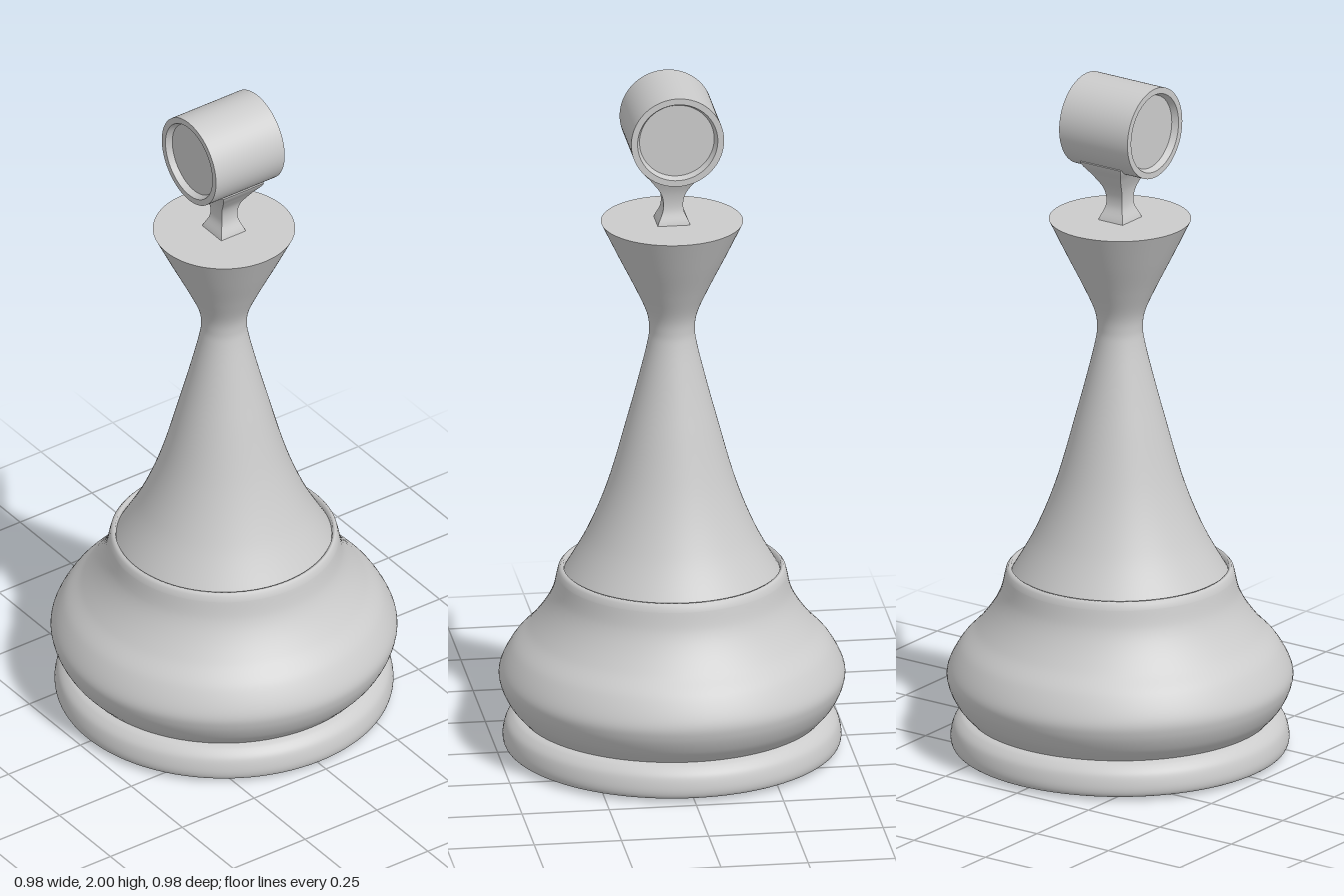
import * as THREE from 'three';

const material = new THREE.MeshStandardMaterial({ color: 0xcccccc, side: THREE.DoubleSide });
const SEGMENTS = 96;

// Smooth curve through a few [radius, height] points
function smooth(points, divisions = 40) {
  return new THREE.SplineCurve(points.map(([r, y]) => new THREE.Vector2(r, y))).getPoints(divisions);
}

function straight(points) {
  return points.map(([r, y]) => new THREE.Vector2(r, y));
}

function turned(name, profile) {
  const mesh = new THREE.Mesh(new THREE.LatheGeometry(profile, SEGMENTS), material);
  mesh.name = name;
  return mesh;
}

// Square stem whose half widths follow curves along its height
function createStem() {
  const geometry = new THREE.BoxGeometry(1, 1, 1, 1, 24, 1);
  const bottom = 1.585, top = 1.77;
  const halfX = new THREE.SplineCurve(straight([[0.047, 0], [0.029, 0.25], [0.034, 0.5], [0.064, 0.75], [0.097, 1]]));
  const halfZ = new THREE.SplineCurve(straight([[0.043, 0], [0.028, 0.25], [0.031, 0.5], [0.048, 0.75], [0.071, 1]]));
  const position = geometry.attributes.position;
  for (let i = 0; i < position.count; i++) {
    const t = position.getY(i) + 0.5;
    position.setXYZ(
      i,
      Math.sign(position.getX(i)) * halfX.getPoint(t).x,
      bottom + (top - bottom) * t,
      Math.sign(position.getZ(i)) * halfZ.getPoint(t).x
    );
  }
  geometry.computeVertexNormals();
  const mesh = new THREE.Mesh(geometry, material);
  mesh.name = 'stem';
  return mesh;
}

// Drum lying along z, with a recessed disc in each end
function createDrum() {
  const drum = new THREE.Group();
  drum.name = 'drum';
  const radius = 0.133, half = 0.1195, inner = 0.115, floor = 0.107, depth = 0.018;
  drum.add(turned('drumWall', straight([[radius, -half], [radius, half]])));
  for (const side of [1, -1]) {
    const end = new THREE.Group();
    end.name = side > 0 ? 'frontEnd' : 'backEnd';
    end.add(
      turned('rim', straight([[radius, half], [inner, half]])),
      turned('recessWall', straight([[inner, half], [floor, half - depth]])),
      turned('recessDisc', straight([[floor, half - depth], [0, half - depth]]))
    );
    if (side < 0) end.rotation.x = Math.PI;
    drum.add(end);
  }
  drum.rotation.x = Math.PI / 2;
  drum.position.set(0, 1.867, 0.0025);
  return drum;
}

export function createModel() {
  const model = new THREE.Group();
  model.name = 'chessPiece';

  // Foot
  model.add(turned('underside', straight([[0, 0], [0.38, 0], [0.46, 0.008]])));
  model.add(turned('footRing', smooth([[0.46, 0.008], [0.477, 0.016], [0.481, 0.04], [0.472, 0.075], [0.452, 0.097], [0.432, 0.106]])));

  // Bulging base with a small collar lip
  model.add(turned('bulb', smooth([
    [0.432, 0.106], [0.465, 0.145], [0.488, 0.195], [0.489, 0.24], [0.455, 0.305],
    [0.405, 0.36], [0.365, 0.415], [0.34, 0.465], [0.327, 0.52]
  ], 64)));
  model.add(turned('collarLip', straight([[0.327, 0.52], [0.323, 0.535], [0.316, 0.543], [0.309, 0.543], [0.306, 0.53]])));

  // Tapering body, narrow neck and flared top
  model.add(turned('body', smooth([
    [0.306, 0.53], [0.24, 0.65], [0.181, 0.8], [0.125, 1.0], [0.091, 1.13], [0.07, 1.22],
    [0.065, 1.265], [0.073, 1.315], [0.106, 1.39], [0.153, 1.485], [0.202, 1.587]
  ], 90)));
  model.add(turned('topPlate', straight([[0.202, 1.587], [0, 1.587]])));

  model.add(createStem(), createDrum());
  return model;
}
